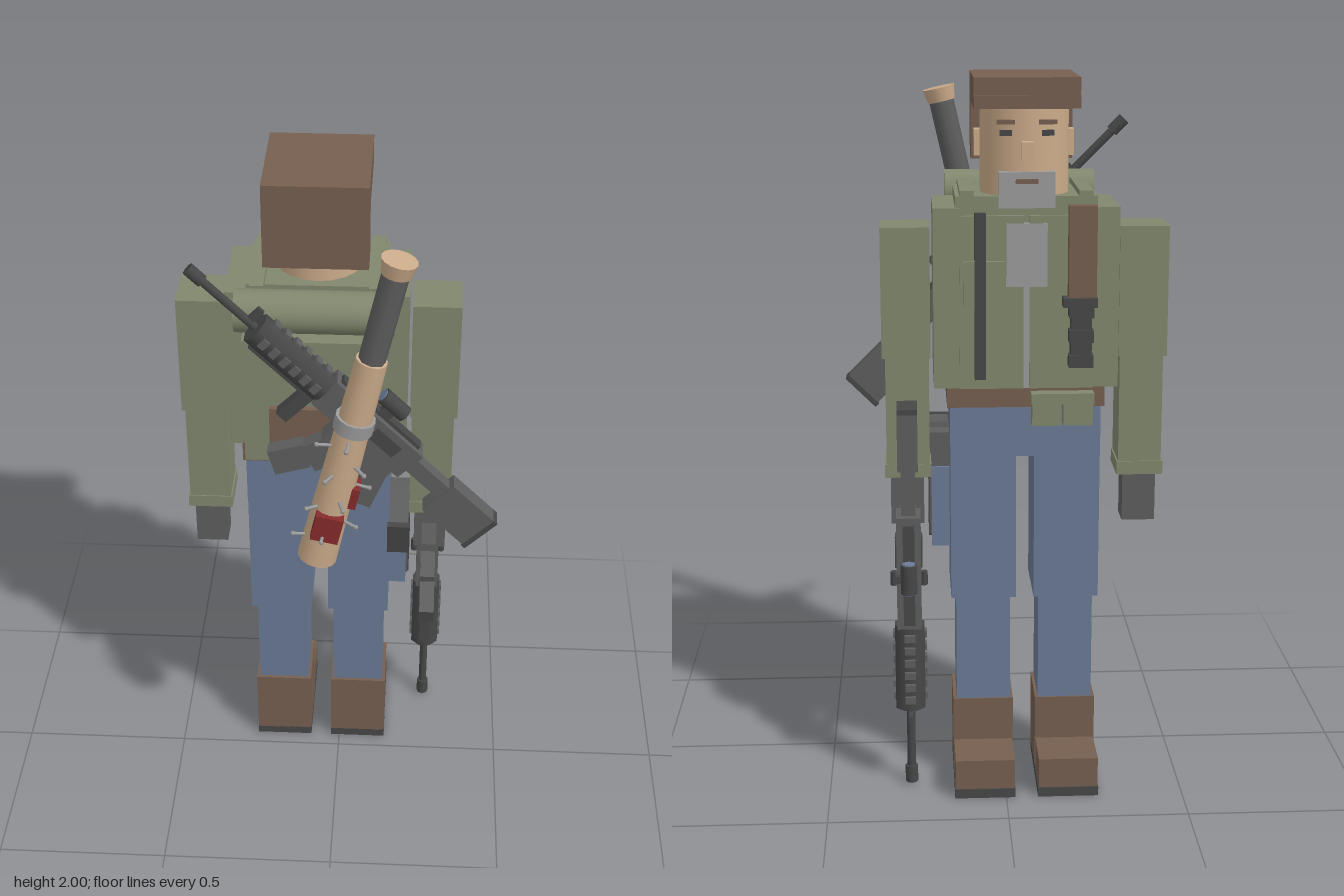
import * as THREE from 'three';

const mat = (name, color) => Object.assign(new THREE.MeshStandardMaterial({ color }), { name });
const green = mat('olive jacket', 0x81886e), brown = mat('brown leather', 0x765f50),
  denim = mat('blue denim', 0x6b7a94), skin = mat('tan skin and tube', 0xcbab8a),
  grey = mat('gunmetal grey', 0x5e5e5e), dark = mat('dark grey', 0x474747),
  light = mat('light grey', 0x9b9b9b), red = mat('red panel', 0x852b2b);

function add(parent, name, geo, material, x = 0, y = 0, z = 0) {
  const m = new THREE.Mesh(geo, material);
  m.name = name;
  m.position.set(x, y, z);
  parent.add(m);
  return m;
}

// Box given by its limits on each axis
function box(parent, name, material, x0, x1, y0, y1, z0, z1) {
  return add(parent, name, new THREE.BoxGeometry(x1 - x0, y1 - y0, z1 - z0), material,
    (x0 + x1) / 2, (y0 + y1) / 2, (z0 + z1) / 2);
}

// Upright cylinder between two heights
function cyl(parent, name, material, r0, r1, y0, y1, sides = 12, x = 0, z = 0) {
  return add(parent, name, new THREE.CylinderGeometry(r1, r0, y1 - y0, sides), material, x, (y0 + y1) / 2, z);
}

// Rifle: muzzle at y = 0 pointing down, sights towards -z, magazine towards +z
function rifle(name) {
  const g = new THREE.Group();
  g.name = name;
  cyl(g, 'muzzle', dark, 0.018, 0.018, 0, 0.05, 8);
  cyl(g, 'barrel', dark, 0.012, 0.012, 0.05, 0.24, 8);
  box(g, 'frontSight', dark, -0.006, 0.006, 0.2, 0.22, -0.05, 0);
  const guard = cyl(g, 'handguard', dark, 0.045, 0.045, 0.235, 0.485, 8);
  guard.rotation.y = Math.PI / 8;
  for (let i = 0; i < 6; i++) {
    const y = 0.26 + i * 0.037;
    box(g, 'railRib', grey, -0.015, 0.015, y, y + 0.02, -0.052, -0.038);
    for (const s of [-1, 1]) box(g, 'sideRib', grey, s * 0.044 - 0.004, s * 0.044 + 0.004, y, y + 0.02, -0.014, 0.014);
  }
  box(g, 'lowerRail', dark, -0.015, 0.015, 0.26, 0.45, 0.035, 0.052);
  box(g, 'foregrip', dark, -0.018, 0.018, 0.45, 0.486, 0.04, 0.145);
  box(g, 'receiver', grey, -0.034, 0.034, 0.485, 0.81, -0.05, 0.045);
  box(g, 'topRail', dark, -0.016, 0.016, 0.5, 0.79, -0.06, -0.045);
  box(g, 'lowerReceiver', grey, -0.028, 0.028, 0.585, 0.79, 0.04, 0.11);
  // Curved magazine in two sections
  const magazine = [[0.625, 0.14, 0.085, 0.1, 0.3], [0.575, 0.225, 0.075, 0.1, 0.5]];
  for (const [y, z, h, d, a] of magazine) {
    add(g, 'magazine', new THREE.BoxGeometry(0.044, h, d), grey, 0, y, z).rotation.x = a;
  }
  add(g, 'pistolGrip', new THREE.BoxGeometry(0.044, 0.065, 0.12), grey, 0, 0.785, 0.135).rotation.x = -0.4;
  for (const s of [-1, 1]) {
    cyl(g, 'sideKnob', dark, 0.01, 0.01, 0.6, 0.64, 8, s * 0.042);
    box(g, 'ejectionCover', dark, s * 0.034 - 0.004, s * 0.034 + 0.004, 0.66, 0.75, -0.03, 0.01);
  }
  // Sight
  box(g, 'sightMount', dark, -0.014, 0.014, 0.635, 0.67, -0.09, -0.05);
  cyl(g, 'sight', dark, 0.023, 0.023, 0.61, 0.692, 14, 0, -0.095);
  cyl(g, 'sightLens', denim, 0.018, 0.018, 0.607, 0.695, 14, 0, -0.095);
  box(g, 'sightKnob', dark, 0.02, 0.036, 0.64, 0.66, -0.102, -0.086);
  // Stock
  box(g, 'stockTube', grey, -0.02, 0.02, 0.8, 0.96, -0.025, 0.02);
  box(g, 'stock', grey, -0.028, 0.028, 0.94, 1.1, -0.042, 0.075);
  box(g, 'buttPad', dark, -0.028, 0.028, 1.1, 1.115, -0.042, 0.08);
  return g;
}

// Launcher tube, centred on its own length
function launcher() {
  const g = new THREE.Group();
  g.name = 'launcherTube';
  cyl(g, 'tubeBody', skin, 0.055, 0.042, -0.475, 0.18, 14);
  cyl(g, 'tubeGrip', grey, 0.036, 0.036, 0.18, 0.44, 8);
  cyl(g, 'tubeCap', skin, 0.04, 0.048, 0.435, 0.475, 14);
  cyl(g, 'tubeBand', light, 0.054, 0.054, -0.04, 0, 14);
  box(g, 'redPanel', red, -0.038, 0.038, -0.375, -0.295, 0.035, 0.066);
  box(g, 'redSidePanel', red, 0.03, 0.062, -0.275, -0.21, -0.03, 0.03);
  // Pegs round the tube
  for (let i = 0; i < 10; i++) {
    const peg = new THREE.Group();
    peg.name = 'peg';
    peg.position.y = -0.4 + i * 0.038;
    peg.rotation.y = -1.3 + ((i * 3) % 8) * 0.4;
    const pin = add(peg, 'pegPin', new THREE.CylinderGeometry(0.005, 0.005, 0.05, 6), light, 0, 0, 0.062);
    pin.rotation.x = Math.PI / 2;
    add(peg, 'pegTip', new THREE.SphereGeometry(0.007, 6, 4), light, 0, 0, 0.086);
    g.add(peg);
  }
  return g;
}

export function createModel() {
  const root = new THREE.Group();
  root.name = 'armedFigure';
  // The body is symmetrical about x = cx; the face looks towards -z
  const cx = -0.058;
  const body = new THREE.Group();
  body.name = 'body';
  body.position.x = cx;
  root.add(body);
  const pair = (name, m, a, b, ...r) => {
    box(body, name, m, a, b, ...r);
    box(body, name, m, -b, -a, ...r);
  };

  // Head and hair
  cyl(body, 'head', skin, 0.12, 0.12, 1.67, 1.94, 20, 0, -0.15);
  box(body, 'hairTop', brown, -0.14, 0.14, 1.92, 2, -0.28, 0.035);
  box(body, 'hairFringe', brown, -0.14, 0.14, 1.92, 1.955, -0.29, -0.27);
  box(body, 'hairBack', brown, -0.14, 0.14, 1.765, 2, -0.045, 0.038);
  pair('ear', skin, 0.11, 0.135, 1.785, 1.855, -0.15, -0.1);
  box(body, 'nose', skin, -0.016, 0.016, 1.785, 1.835, -0.3, -0.26);
  pair('eye', dark, 0.032, 0.072, 1.848, 1.863, -0.263, -0.253);
  pair('eyebrow', brown, 0.027, 0.08, 1.878, 1.89, -0.265, -0.255);
  box(body, 'beard', light, -0.075, 0.075, 1.66, 1.755, -0.28, -0.2);
  box(body, 'mouth', brown, -0.03, 0.03, 1.725, 1.737, -0.284, -0.279);

  // Jacket
  box(body, 'jacketCore', green, -0.19, 0.19, 1.17, 1.69, -0.265, -0.005);
  pair('jacketSide', green, 0.14, 0.25, 1.17, 1.66, -0.27, -0.01);
  pair('jacketFront', green, 0.008, 0.18, 1.17, 1.64, -0.28, -0.26);
  box(body, 'shirt', light, -0.055, 0.055, 1.45, 1.62, -0.284, -0.26);
  box(body, 'zip', light, -0.008, 0.008, 1.17, 1.46, -0.276, -0.26);
  box(body, 'chestPocket', green, 0.06, 0.17, 1.4, 1.52, -0.295, -0.27);
  box(body, 'chestStrap', dark, 0.11, 0.14, 1.2, 1.65, -0.303, -0.28);

  // Knife in its sheath
  box(body, 'sheath', brown, -0.185, -0.11, 1.42, 1.67, -0.313, -0.28);
  box(body, 'knifeGuard', dark, -0.187, -0.095, 1.4, 1.425, -0.328, -0.28);
  for (let i = 0; i < 5; i++) {
    const w = i % 2 ? 0.028 : 0.033;
    box(body, 'knifeGrip', dark, -0.145 - w, -0.145 + w, 1.235 + i * 0.034, 1.269 + i * 0.034, -0.29 - w, -0.275);
  }

  // Arms
  pair('upperArm', green, 0.258, 0.392, 1.24, 1.6, -0.21, -0.062);
  pair('forearm', green, 0.263, 0.383, 0.93, 1.24, -0.203, -0.067);
  pair('cuff', green, 0.259, 0.388, 0.9, 0.938, -0.207, -0.064);
  pair('glove', grey, 0.28, 0.373, 0.755, 0.9, -0.172, -0.09);

  // Belt and pouches
  box(body, 'belt', brown, -0.215, 0.215, 1.115, 1.175, -0.268, -0.003);
  for (const x of [-0.14, -0.055]) {
    box(body, 'pouch', green, x - 0.04, x + 0.04, 1.07, 1.155, -0.303, -0.25);
    box(body, 'pouchFlap', green, x - 0.043, x + 0.043, 1.13, 1.16, -0.307, -0.25);
  }

  // Trousers and boots
  box(body, 'hips', denim, -0.207, 0.207, 0.97, 1.118, -0.25, -0.012);
  pair('thigh', denim, 0.025, 0.207, 0.555, 0.97, -0.245, -0.02);
  pair('shin', denim, 0.04, 0.193, 0.24, 0.555, -0.225, -0.055);
  pair('bootShaft', brown, 0.032, 0.203, 0.025, 0.24, -0.23, -0.045);
  pair('bootToe', brown, 0.034, 0.201, 0.025, 0.113, -0.372, -0.22);
  pair('bootSole', dark, 0.032, 0.203, 0, 0.027, -0.376, -0.045);

  // Backpack and bedroll
  box(body, 'backpack', green, -0.19, 0.19, 1.23, 1.61, -0.01, 0.155);
  box(body, 'packPocket', brown, -0.12, 0.12, 1.29, 1.41, 0.15, 0.172);
  const roll = add(body, 'bedroll', new THREE.CylinderGeometry(0.058, 0.058, 0.423, 24), green, 0, 1.663, 0.086);
  roll.rotation.z = Math.PI / 2;
  pair('packStrap', green, 0.14, 0.178, 1.6, 1.705, -0.27, 0.03);

  // Holstered pistol on the hip
  const pistol = new THREE.Group();
  pistol.name = 'holsteredPistol';
  root.add(pistol);
  box(pistol, 'slide', grey, 0.148, 0.205, 0.7, 1.0, -0.1, -0.03);
  box(pistol, 'holster', denim, 0.142, 0.2, 0.665, 0.9, -0.11, -0.028);
  box(pistol, 'holsterStrap', dark, 0.139, 0.209, 0.69, 0.89, -0.09, -0.05);
  add(pistol, 'grip', new THREE.BoxGeometry(0.055, 0.09, 0.17), grey, 0.177, 0.96, 0.04).rotation.x = 0.12;
  add(pistol, 'gripEnd', new THREE.BoxGeometry(0.064, 0.1, 0.02), dark, 0.177, 0.95, 0.122).rotation.x = 0.12;

  // Rifle held muzzle down
  const held = rifle('heldRifle');
  held.position.set(0.267, 0.005, -0.265);
  root.add(held);

  // Rifle slung diagonally over the pack
  const slung = rifle('slungRifle');
  const c = Math.SQRT1_2;
  slung.quaternion.setFromRotationMatrix(new THREE.Matrix4().makeBasis(
    new THREE.Vector3(0, 0, -1), new THREE.Vector3(c, -c, 0), new THREE.Vector3(-c, -c, 0)));
  slung.position.set(-0.37, 1.85, 0.205);
  root.add(slung);

  // Launcher across the back
  const tube = launcher();
  tube.position.set(0.06, 1.472, 0.288);
  tube.rotation.z = -0.222;
  root.add(tube);

  return root;
}
